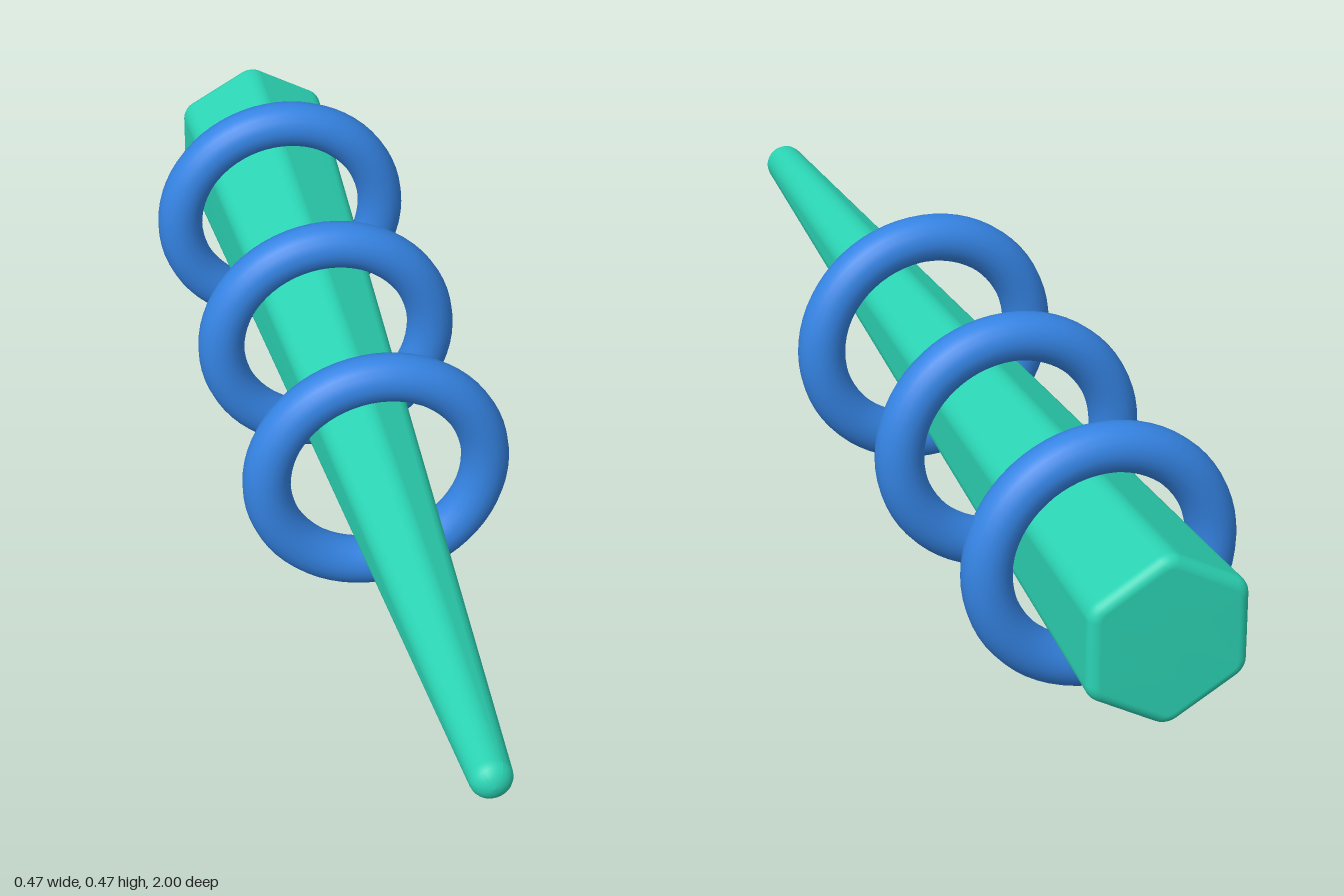
import * as THREE from 'three';

const AXIS_Y = 0.237;   // height of the common axis
const ROUND = 0.036;    // edge rounding of the hexagonal shaft
const ARC = 6;          // steps per rounded corner

// Rounded hexagon, point up: apothem a, corner radius r
function hexSection(a, r, z) {
  const core = Math.max(a - r, 0) * 2 / Math.sqrt(3);
  const points = [];
  for (let k = 0; k < 6; k++) {
    const mid = Math.PI / 2 + k * Math.PI / 3;
    for (let s = 0; s <= ARC; s++) {
      const t = mid + (s / ARC - 0.5) * Math.PI / 3;
      points.push([core * Math.cos(mid) + r * Math.cos(t), core * Math.sin(mid) + r * Math.sin(t), z]);
    }
  }
  return points;
}

// Skin consecutive closed sections, running from back to front
function loft(sections) {
  const n = sections[0].length, index = [];
  for (let i = 0; i < sections.length - 1; i++) {
    for (let j = 0; j < n; j++) {
      const a = i * n + j, b = i * n + (j + 1) % n;
      index.push(a, b, b + n, a, b + n, a + n);
    }
  }
  const geometry = new THREE.BufferGeometry();
  geometry.setAttribute('position', new THREE.Float32BufferAttribute(sections.flat(2), 3));
  geometry.setIndex(index);
  geometry.computeVertexNormals();
  return geometry;
}

function shaftGeometry() {
  const backA = 0.135, backBevel = 0.02, tipDepth = 0.03, steps = 6;
  const sections = [hexSection(0, 0, -1)];
  // rounded rim around the flat back
  for (let i = 0; i <= steps; i++) {
    const t = i / steps * Math.PI / 2;
    const inset = backBevel * (1 - Math.sin(t));
    sections.push(hexSection(backA - inset, ROUND - inset, -1 + backBevel * (1 - Math.cos(t))));
  }
  // straight taper into a domed round tip
  for (let i = 0; i <= steps; i++) {
    const t = i / steps * Math.PI / 2;
    const r = ROUND * Math.cos(t);
    sections.push(hexSection(r, r, 1 - tipDepth + tipDepth * Math.sin(t)));
  }
  return loft(sections);
}

export function createModel() {
  const model = new THREE.Group();
  model.name = 'ringedSpike';
  const teal = new THREE.MeshStandardMaterial({ color: 0x2bd4b4 });
  const blue = new THREE.MeshStandardMaterial({ color: 0x3584e4 });

  const shaft = new THREE.Mesh(shaftGeometry(), teal);
  shaft.name = 'taperedShaft';
  shaft.position.y = AXIS_Y;
  model.add(shaft);

  // Three equal rings floating around the shaft
  const ringGeometry = new THREE.TorusGeometry(0.194, 0.042, 20, 64);
  [0.144, -0.279, -0.703].forEach((z, i) => {
    const ring = new THREE.Mesh(ringGeometry, blue);
    ring.name = `ring${i + 1}`;
    ring.position.set(0, AXIS_Y, z);
    model.add(ring);
  });
  return model;
}
